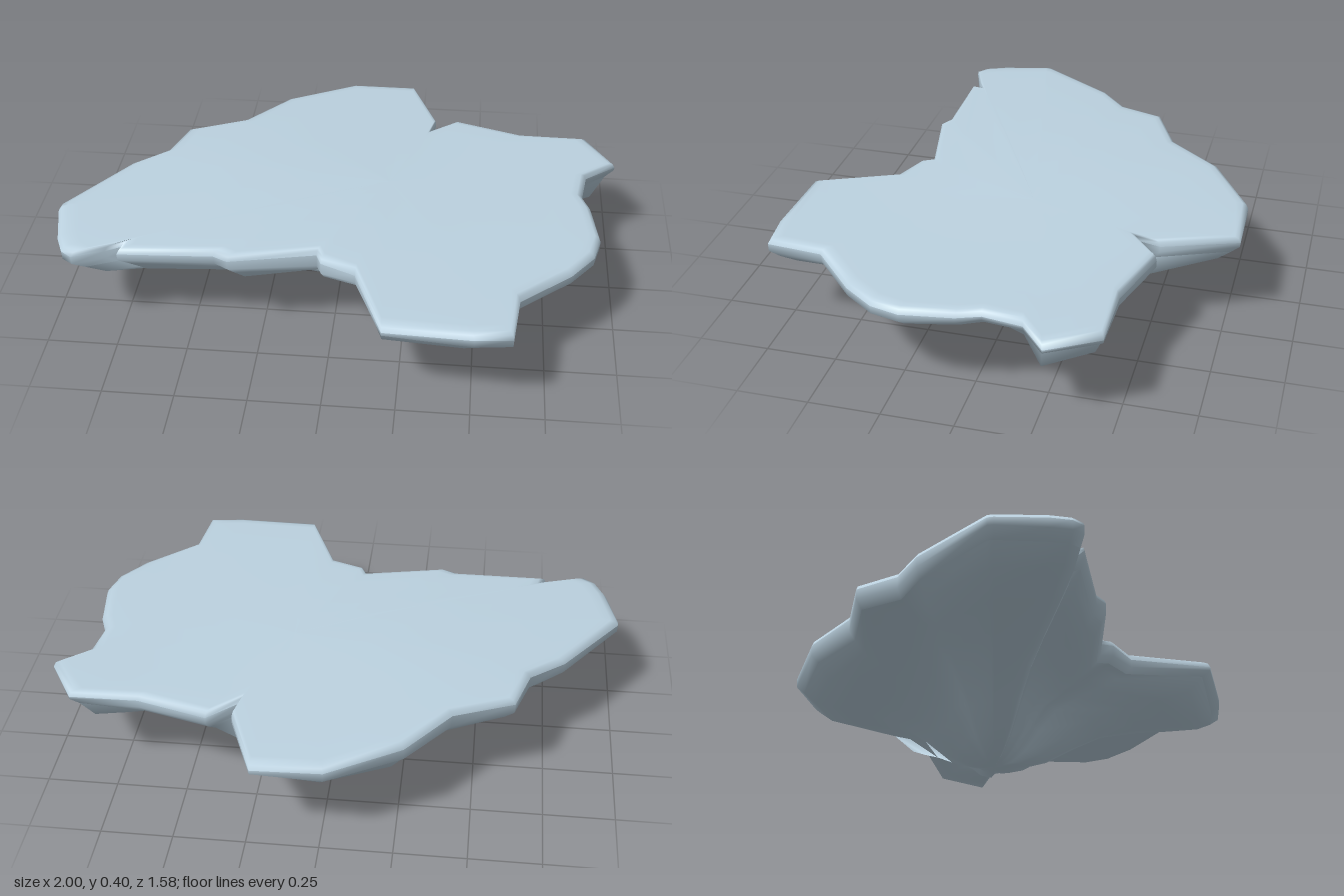
import * as THREE from 'three';

// Slab outline seen from above: x, z, and how far the rock below is hollowed (+) or bulges (-)
const OUTLINE = [
  [-0.02, -0.785, 0.3], [0.22, -0.79, 0.5], [0.32, -0.53, 0], [0.30, -0.44, -0.8], [0.41, -0.535, 0.5],
  [0.66, -0.46, 0.7], [0.90, -0.46, 0.2], [1.0, -0.29, 0], [0.89, -0.20, 0.4], [0.87, -0.06, 0.8],
  [0.90, 0.02, 0.8], [0.925, 0.20, 0.6], [0.90, 0.30, 0.5], [0.82, 0.41, 0.6], [0.645, 0.57, 0.7],
  [0.625, 0.77, 0.4], [0.50, 0.785, 0.2], [0.20, 0.775, 0.3], [0.09, 0.49, 0.6], [-0.03, 0.44, 0.6],
  [-0.05, 0.395, 0.5], [-0.35, 0.46, 0.4], [-0.40, 0.435, 0.5], [-0.735, 0.445, 0.4], [-0.725, 0.40, 0.4],
  [-0.78, 0.43, 0.35], [-0.89, 0.47, 0.35], [-0.93, 0.44, 0.3], [-0.96, 0.37, 0.2], [-1.0, 0.20, 0.1],
  [-1.0, 0.18, 0.1], [-0.80, -0.10, 0.3], [-0.68, -0.20, 0.9], [-0.63, -0.36, 0.8], [-0.42, -0.45, 0.3],
  [-0.27, -0.64, 0.1],
];
const CX = 0.17, CZ = -0.05;

// Gentle dome of the upper surface, and the wavy lower lip of the rim
const topHeight = (x, z) => 0.368 + 0.03 * Math.exp(-2.2 * ((x + 0.25) ** 2 + (z + 0.05) ** 2));
const lipHeight = (x, z) => 0.302 - 0.01 * Math.sin(7 * x + 5 * z);

// Joins rings of outline points, scaled towards the centre, into one skin
function loft(scales, height) {
  const n = OUTLINE.length, position = [], index = [];
  scales.forEach((t, r) => {
    for (const [px, pz, hollow] of OUTLINE) {
      const x = CX + (px - CX) * t, z = CZ + (pz - CZ) * t;
      position.push(x, height(r, x, z, hollow, t), z);
    }
  });
  for (let r = 0; r < scales.length - 1; r++) {
    for (let i = 0; i < n; i++) {
      const a = r * n + i, b = r * n + (i + 1) % n;
      const c = a + n, d = b + n;
      if (scales[r] > 0) index.push(a, b, d);
      if (scales[r + 1] > 0) index.push(a, d, c);
    }
  }
  const geometry = new THREE.BufferGeometry();
  geometry.setAttribute('position', new THREE.Float32BufferAttribute(position, 3));
  geometry.setIndex(index);
  geometry.computeVertexNormals();
  return geometry;
}

export function createModel() {
  const group = new THREE.Group();
  group.name = 'floatingRock';
  const stone = new THREE.MeshStandardMaterial({ color: 0xbcd2e0 });
  stone.name = 'blueGreyStone';

  const add = (name, geometry) => {
    const mesh = new THREE.Mesh(geometry, stone);
    mesh.name = name;
    group.add(mesh);
  };

  // Domed top with a rounded rim
  const drops = [0, 0, 0, 0, 0, 0.002, 0.008, 0.024];
  add('topSlab', loft([0, 0.3, 0.55, 0.8, 0.94, 0.972, 0.99, 1],
    (r, x, z) => topHeight(x, z) - drops[r]));

  // Rim wall turning under the slab
  add('rimEdge', loft([1, 0.998, 0.96], (r, x, z) =>
    [topHeight(x, z) - 0.024, lipHeight(x, z) + 0.025, lipHeight(x, z)][r]));

  // Underside with spurs and hollows running down to a blunt keel
  const depth = [0.302, 0.225, 0.198, 0.175, 0.138, 0.085, 0.035, 0.01, 0.004, 0];
  add('underside', loft([0.96, 0.9, 0.76, 0.62, 0.46, 0.33, 0.22, 0.12, 0.06, 0],
    (r, x, z, hollow, t) => {
      if (r === 0) return lipHeight(x, z);
      const lift = hollow * 0.1 * THREE.MathUtils.smoothstep(t, 0.1, 0.5);
      return Math.min(lipHeight(x, z), depth[r] + lift);
    }));

  return group;
}
